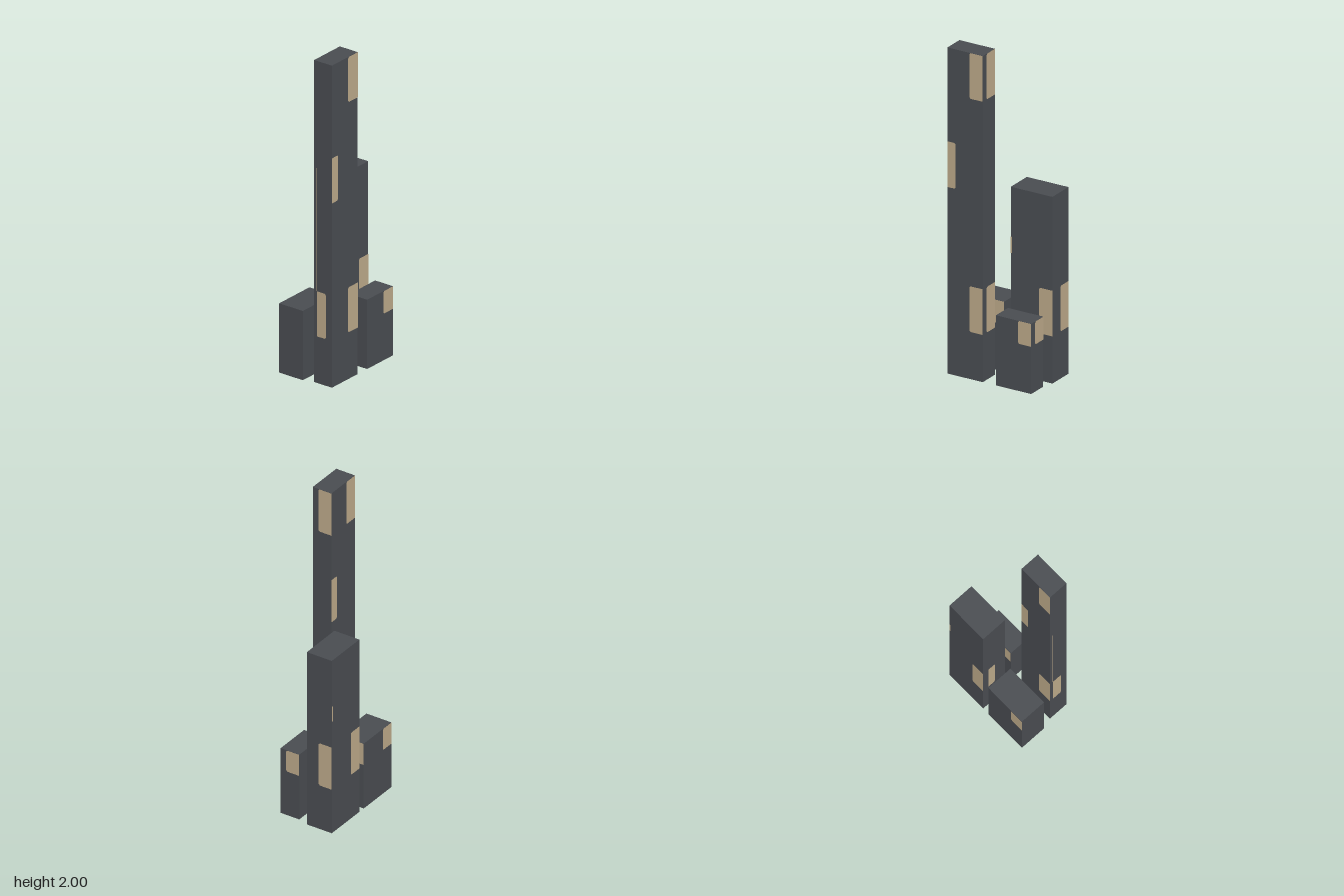
import * as THREE from 'three';

const wall = new THREE.MeshStandardMaterial({ name: 'slate wall', color: 0x494c51 });
const lit = new THREE.MeshStandardMaterial({ name: 'lit window', color: 0xbca989 });

// One lit pane; u runs from the left edge of the wall, cut corners on chosen sides
function pane(u0, u1, y0, y1, cutLeft, cutRight) {
  const c = Math.min(0.008, (u1 - u0) / 3);
  const l = cutLeft ? c : 0, r = cutRight ? c : 0;
  const s = new THREE.Shape();
  s.moveTo(u0 + l, y0);
  s.lineTo(u1 - r, y0);
  s.lineTo(u1, y0 + r);
  s.lineTo(u1, y1 - r);
  s.lineTo(u1 - r, y1);
  s.lineTo(u0 + l, y1);
  s.lineTo(u0, y1 - l);
  s.lineTo(u0, y0 + l);
  const mesh = new THREE.Mesh(new THREE.ShapeGeometry(s), lit);
  mesh.name = 'window';
  return mesh;
}

// A tower: plain block with windows on its four walls
function tower({ name, x, z, w, d, h, right, left = [], leftSide = [] }) {
  const g = new THREE.Group();
  g.name = name;
  g.position.set(x, 0, z);
  const body = new THREE.Mesh(new THREE.BoxGeometry(w, h, d), wall);
  body.name = 'block';
  body.position.y = h / 2;
  g.add(body);

  // front, left side, back, right side
  ['frontWall', 'leftWall', 'backWall', 'rightWall'].forEach((label, i) => {
    const width = i % 2 ? d : w, depth = i % 2 ? w : d;
    const face = new THREE.Group();
    face.name = label;
    const panes = new THREE.Group();
    panes.name = 'windows';
    panes.position.set(-width / 2, 0, depth / 2 + 0.0015);
    if (i < 3) {
      // windows wrapping up to the right-hand corner
      for (const [y0, y1] of right) panes.add(pane(width - 0.088, width, y0, y1, true, false));
    } else {
      for (const [u0, u1, y0, y1] of leftSide) panes.add(pane(u0, u1, y0, y1, false, true));
    }
    // narrow windows at the left-hand corner of the broad walls
    if (i % 2 === 0) for (const [u1, y0, y1] of left) panes.add(pane(0, u1, y0, y1, false, true));
    face.add(panes);
    face.rotation.y = i * Math.PI / 2;
    g.add(face);
  });
  return g;
}

export function createModel() {
  const model = new THREE.Group();
  model.name = 'towerCluster';
  const front = { z: 0.117, w: 0.236, d: 0.127 };
  const back = { z: -0.097, w: 0.278, d: 0.17 };
  model.add(
    tower({
      name: 'tallTower', x: -0.162, ...front, h: 2,
      right: [[0.29, 0.57], [1.72, 2]], left: [[0.055, 1.145, 1.425]],
      leftSide: [[0.02, 0.085, 0.29, 0.57], [0.018, 0.022, 0.57, 1.335]],
    }),
    tower({ name: 'frontLowTower', x: 0.162, ...front, h: 0.43, right: [[0.29, 0.43]] }),
    tower({
      name: 'middleTower', x: 0.161, ...back, h: 1.145,
      right: [[0.29, 0.57]], left: [[0.01, 0.74, 0.84]],
      leftSide: [[0.04, 0.09, 0.29, 0.57]],
    }),
    tower({ name: 'backLowTower', x: -0.161, ...back, h: 0.43, right: [[0.29, 0.43]] }),
  );
  return model;
}
